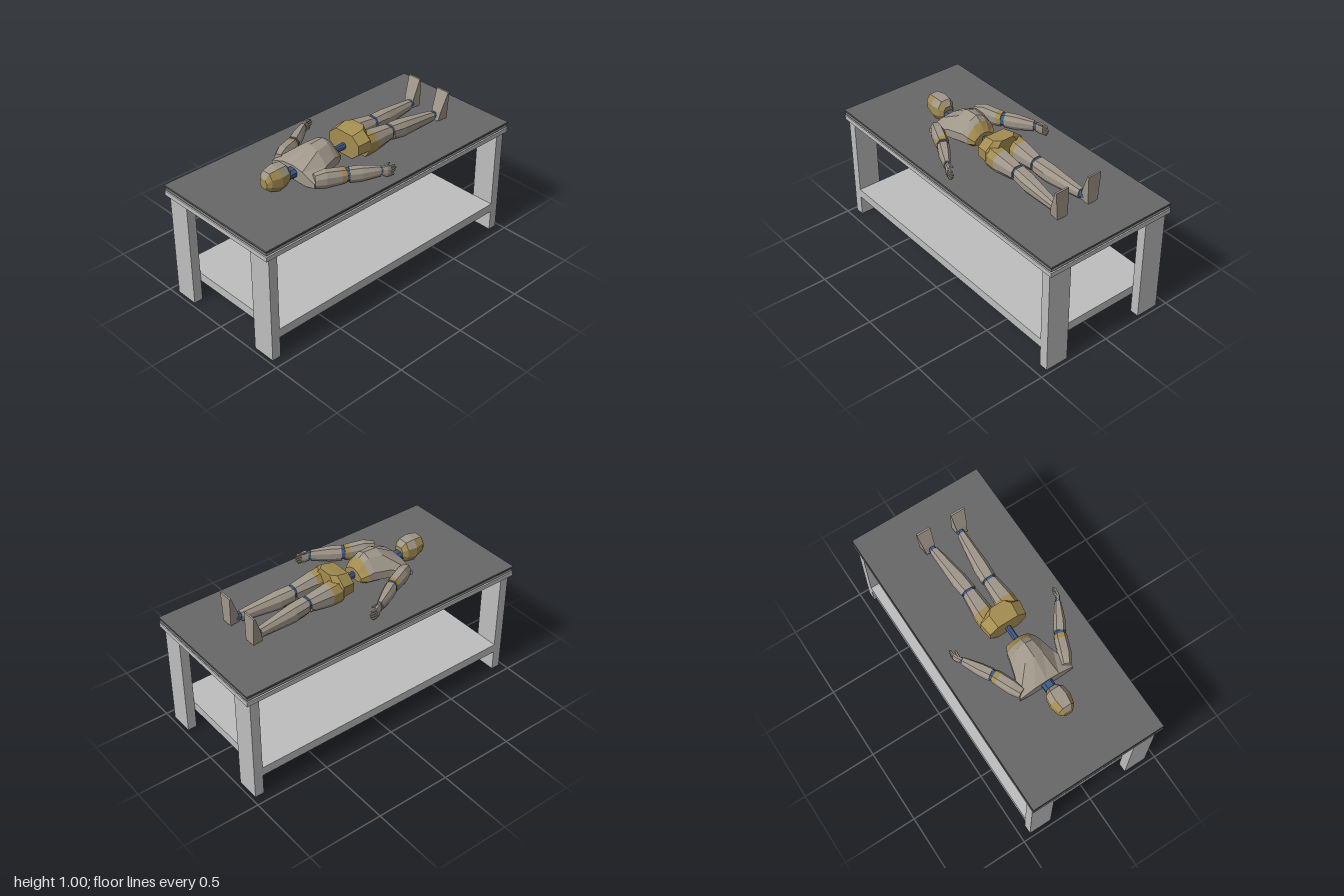
import * as THREE from 'three';

const mat = (name, color, extra = {}) => {
  const m = new THREE.MeshStandardMaterial({ color, flatShading: true, ...extra });
  m.name = name;
  return m;
};

// Unit cross-sections as [sideways, up], running from the +side over the top
const LIMB = [[1, -0.4], [1, 0.4], [0.55, 1], [-0.55, 1], [-1, 0.4], [-1, -0.4], [-0.55, -1], [0.55, -1]];
const CHEST = [[1, -0.6], [1, 0.0], [0.45, 0.78], [0, 1], [-0.45, 0.78], [-1, 0.0], [-1, -0.6], [-0.6, -1], [0.6, -1]];

// Faceted loft; each section is [x, z, yBottom, yTop, halfWidth], turned by angle in plan.
// pick(i, j) chooses the material of face j in span i.
function loft(name, sections, mats, { angle = 0, profile = LIMB, pick = () => 0 } = {}) {
  const n = profile.length;
  const rings = sections.map(([x, z, lo, hi, w]) => profile.map(([u, v]) => [
    x - Math.sin(angle) * u * w,
    (lo + hi) / 2 + v * (hi - lo) / 2,
    z + Math.cos(angle) * u * w,
  ]));
  const pos = [];
  const geo = new THREE.BufferGeometry();
  const face = (pts, m) => {
    const start = pos.length / 3;
    pts.forEach((p) => pos.push(...p));
    geo.addGroup(start, pts.length, m);
  };
  const last = rings.length - 1;
  for (let i = 0; i < last; i++) {
    for (let j = 0; j < n; j++) {
      const k = (j + 1) % n, A = rings[i], B = rings[i + 1];
      face([A[j], B[j], A[k], A[k], B[j], B[k]], pick(i, j));
    }
  }
  for (let j = 1; j < n - 1; j++) {
    face([rings[0][0], rings[0][j], rings[0][j + 1]], pick(0, -1));
    face([rings[last][0], rings[last][j + 1], rings[last][j]], pick(last - 1, -2));
  }
  geo.setAttribute('position', new THREE.Float32BufferAttribute(pos, 3));
  geo.computeVertexNormals();
  const mesh = new THREE.Mesh(geo, mats);
  mesh.name = name;
  return mesh;
}

export function createModel() {
  const frame = mat('light grey', 0xbebebe);
  const dark = mat('dark grey', 0x686868);
  const tan = mat('warm grey', 0xa0978a);
  const ochre = mat('ochre', 0xa38d50);
  const blue = mat('joint blue', 0x3d5a88);
  const model = new THREE.Group();
  model.name = 'tableWithMannequin';

  const box = (parent, name, m, [w, h, d], [x, y, z]) => {
    const b = new THREE.Mesh(new THREE.BoxGeometry(w, h, d), m);
    b.position.set(x, y, z);
    b.name = name;
    parent.add(b);
  };

  // Table frame
  const table = new THREE.Group();
  table.name = 'table';
  model.add(table);
  for (const x of [-0.945, 0.945]) {
    for (const z of [-0.3625, 0.3625]) box(table, 'leg', frame, [0.06, 0.722, 0.155], [x, 0.361, z]);
  }
  box(table, 'shelf', frame, [1.83, 0.06, 0.88], [0, 0.17, 0]);
  box(table, 'topFrame', frame, [2, 0.03, 0.906], [0, 0.735, 0]);

  // Dark top with a V-shaped groove around its edge
  const top = new THREE.BoxGeometry(2, 0.04, 0.906, 1, 4, 1);
  const tp = top.attributes.position;
  for (let i = 0; i < tp.count; i++) {
    const y = tp.getY(i);
    const inset = Math.abs(y + 0.01) < 0.001 ? 0 : y < -0.015 ? 0.012 : Math.abs(y) < 0.001 ? 0.008 : 0;
    tp.setX(i, tp.getX(i) - Math.sign(tp.getX(i)) * inset);
    tp.setZ(i, tp.getZ(i) - Math.sign(tp.getZ(i)) * inset);
  }
  top.computeVertexNormals();
  const topMesh = new THREE.Mesh(top, dark);
  topMesh.position.y = 0.77;
  topMesh.name = 'tableTop';
  table.add(topMesh);

  // Figure lying on its back, head towards -x
  const body = new THREE.Group();
  body.name = 'mannequin';
  body.position.z = 0.022;
  model.add(body);

  body.add(loft('head', [
    [-0.648, 0, 0.83, 0.89, 0.03], [-0.625, 0, 0.81, 0.93, 0.052], [-0.56, 0, 0.79, 0.94, 0.068],
    [-0.5, 0, 0.8, 0.935, 0.058], [-0.472, 0, 0.825, 0.9, 0.035],
  ], [ochre, tan], { pick: (i, j) => (j === 2 || (i === 2 && (j === 1 || j === 3)) ? 1 : 0) }));
  body.add(loft('neck', [[-0.5, 0, 0.815, 0.87, 0.034], [-0.41, 0, 0.815, 0.875, 0.038]], [blue]));

  // Chest with an ochre back and belly band
  body.add(loft('torso', [
    [-0.425, 0, 0.795, 0.89, 0.185], [-0.285, 0, 0.79, 0.974, 0.135], [-0.19, 0, 0.795, 0.98, 0.108],
    [-0.155, 0, 0.8, 0.955, 0.1], [-0.112, 0, 0.82, 0.895, 0.075],
  ], [tan, ochre], { profile: CHEST, pick: (i, j) => (i === 3 || j > 5 ? 1 : 0) }));
  body.add(loft('waist', [[-0.13, 0, 0.83, 0.87, 0.017], [0, 0, 0.83, 0.87, 0.017]], [blue]));
  body.add(loft('pelvis', [
    [-0.015, 0, 0.79, 0.945, 0.125], [0.07, 0, 0.79, 0.962, 0.138], [0.105, 0, 0.795, 0.965, 0.08],
  ], [ochre]));

  for (const s of [1, -1]) {
    const side = s > 0 ? 'left' : 'right';
    const add = (part, secs, m, angle = 0, pick) => body.add(loft(
      side + part, secs.map(([x, z, ...r]) => [x, z * s, ...r]), m, { angle: angle * s, pick }));

    // Legs
    add('Thigh', [[0.06, 0.076, 0.79, 0.93, 0.06], [0.14, 0.076, 0.79, 0.922, 0.06], [0.287, 0.073, 0.81, 0.9, 0.046]],
      [tan, ochre], 0, (i) => (i === 0 ? 1 : 0));
    add('Knee', [[0.28, 0.072, 0.82, 0.895, 0.04], [0.312, 0.072, 0.82, 0.895, 0.04]], [blue]);
    add('Shin', [[0.303, 0.071, 0.805, 0.9, 0.047], [0.4, 0.078, 0.792, 0.895, 0.048], [0.65, 0.098, 0.805, 0.865, 0.027]], [tan]);
    add('Ankle', [[0.645, 0.1, 0.812, 0.86, 0.022], [0.69, 0.104, 0.812, 0.86, 0.022]], [blue]);

    // Foot: wedge with the toes up, widening towards them
    const wedge = new THREE.Shape([[0.66, 0.81], [0.73, 0.81], [0.73, 1.0], [0.718, 1.0], [0.672, 0.87]]
      .map((p) => new THREE.Vector2(...p)));
    const geo = new THREE.ExtrudeGeometry(wedge, { depth: 1, bevelEnabled: false });
    const p = geo.attributes.position;
    for (let i = 0; i < p.count; i++) {
      const t = (p.getY(i) - 0.81) / 0.19;
      const heel = (0.73 - p.getX(i)) / 0.07;
      const half = 0.038 + 0.009 * t - 0.008 * heel * (1 - t);
      p.setZ(i, s * (0.115 + 0.005 * t) + (p.getZ(i) - 0.5) * 2 * half);
    }
    geo.computeVertexNormals();
    const foot = new THREE.Mesh(geo, tan);
    foot.name = side + 'Foot';
    body.add(foot);

    // Arms
    add('UpperArm', [[-0.4, 0.155, 0.8, 0.885, 0.03], [-0.34, 0.183, 0.793, 0.9, 0.04],
      [-0.25, 0.219, 0.797, 0.89, 0.04], [-0.222, 0.231, 0.8, 0.887, 0.038]],
    [tan, ochre], 0.42, (i) => (i === 2 ? 1 : 0));
    add('Elbow', [[-0.23, 0.228, 0.807, 0.88, 0.034], [-0.195, 0.246, 0.807, 0.88, 0.034]], [blue], 0.45);
    add('Forearm', [[-0.205, 0.241, 0.797, 0.885, 0.037], [-0.14, 0.28, 0.795, 0.885, 0.035],
      [-0.042, 0.336, 0.808, 0.873, 0.02]], [tan], 0.52);
    add('Wrist', [[-0.045, 0.335, 0.815, 0.865, 0.015], [-0.028, 0.343, 0.815, 0.865, 0.015]], [blue], 0.5);

    // Hands: upright palm, four fingers and a thumb
    add('Palm', [[-0.036, 0.341, 0.81, 0.865, 0.013], [-0.01, 0.356, 0.797, 0.872, 0.014],
      [0.012, 0.364, 0.797, 0.865, 0.011]], [tan], 0.35);
    [0.038, 0.052, 0.056, 0.046].forEach((end, k) => {
      const lo = 0.795 + k * 0.0175;
      add('Finger', [[0.008, 0.363, lo, lo + 0.015, 0.008], [0.032, 0.367, lo, lo + 0.015, 0.008],
        [end, 0.365, lo + 0.003, lo + 0.012, 0.005]], [tan], 0.05);
    });
    add('Thumb', [[-0.02, 0.346, 0.856, 0.872, 0.008], [0.005, 0.345, 0.862, 0.876, 0.008],
      [0.024, 0.344, 0.864, 0.874, 0.005]], [tan]);
  }
  return model;
}
